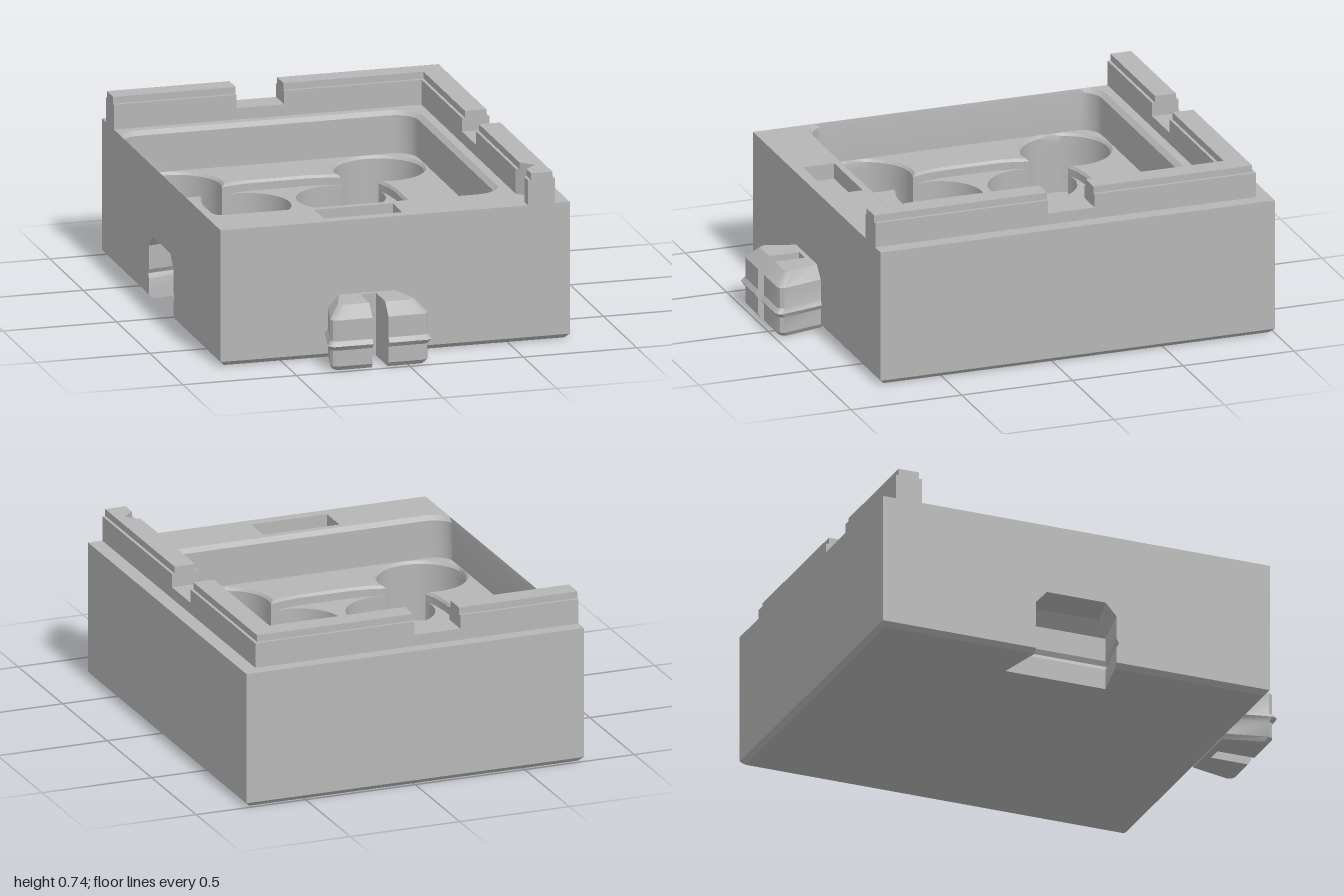
import * as THREE from 'three';
import { mergeGeometries, toCreasedNormals } from 'three/addons/utils/BufferGeometryUtils.js';

// Plan outlines are counter-clockwise [u, v] points with u = x and v = -z.
const CU = -0.125, CV = 0.11; // centre of the tray, the clip and the socket

const toShape = (pts, holes = []) => {
  const path = (p) => p.map(([u, v]) => new THREE.Vector2(u, v));
  const shape = new THREE.Shape(path(pts));
  shape.holes = holes.map((h) => new THREE.Path(path(h)));
  return shape;
};

// Flat face at height y, facing up or down
function flat(pts, y, holes = [], down = false) {
  const outline = down ? pts.map(([u, v]) => [u, -v]) : pts;
  return new THREE.ShapeGeometry(toShape(outline, holes))
    .rotateX(down ? Math.PI / 2 : -Math.PI / 2).translate(0, y, 0);
}

// Walls through a stack of [y, outline]; inward turns them into the lining of a hole
function loft(levels, inward = false) {
  const pos = [];
  for (let l = 0; l + 1 < levels.length; l++) {
    const [y0, lo] = levels[l], [y1, hi] = levels[l + 1];
    for (let i = 0; i < lo.length; i++) {
      const j = (i + 1) % lo.length;
      const a = [lo[i][0], y0, -lo[i][1]], b = [lo[j][0], y0, -lo[j][1]];
      const c = [hi[j][0], y1, -hi[j][1]], d = [hi[i][0], y1, -hi[i][1]];
      pos.push(...(inward ? [a, c, b, a, d, c] : [a, b, c, a, c, d]).flat());
    }
  }
  const g = new THREE.BufferGeometry();
  g.setAttribute('position', new THREE.Float32BufferAttribute(pos, 3));
  return toCreasedNormals(g, 0.5);
}

// Merge pieces of mixed kinds into one geometry
function join(parts) {
  return mergeGeometries(parts.map((p) => {
    const g = p.index ? p.toNonIndexed() : p;
    g.deleteAttribute('uv');
    if (!g.attributes.normal) g.computeVertexNormals();
    return g;
  }));
}

const extrude = (pts, y0, y1) =>
  new THREE.ExtrudeGeometry(toShape(pts), { depth: y1 - y0, bevelEnabled: false })
    .rotateX(-Math.PI / 2).translate(0, y0, 0);

const arc = (cu, cv, r, a0, a1, n) => Array.from({ length: n + 1 }, (_, i) => {
  const a = a0 + (a1 - a0) * i / n;
  return [cu + r * Math.cos(a), cv + r * Math.sin(a)];
});

const clampLeft = (pts, min) => pts.map(([u, v]) => [Math.max(u, min), v]);
const rect = (u0, u1, v0, v1) => [[u0, v0], [u1, v0], [u1, v1], [u0, v1]];

function roundedSquare(half, r) {
  const k = half - r, out = [];
  [[1, 1], [-1, 1], [-1, -1], [1, -1]].forEach(([s, t], i) =>
    out.push(...arc(CU + s * k, CV + t * k, r, i * Math.PI / 2, (i + 1) * Math.PI / 2, 8)));
  return out;
}

// Turn a quadrant's points about the tray centre
const turn = (pts, q) => pts.map(([a, b]) => {
  for (let i = 0; i < q; i++) [a, b] = [-b, a];
  return [CU + a, CV + b];
});

// Joined pair of round wells: outer circle at OUT, inner circle at INN
const OUT = 0.445, INN = 0.208;
function wellArcs(r) {
  const mid = (OUT + INN) / 2, half = (OUT - INN) / Math.SQRT2;
  const k = Math.sqrt(r * r - half * half) / Math.SQRT2;
  const outA = Math.atan2(mid - k - OUT, mid + k - OUT);
  const inA = Math.atan2(mid - k - INN, mid + k - INN);
  return {
    outer: arc(OUT, OUT, r, outA, Math.PI / 2 - outA, 40),
    inner: arc(INN, INN, r, Math.PI / 2 - inA, 2 * Math.PI + inA, 40),
  };
}

const quads = [0, 1, 2, 3];
const before = (e) => [[0.42 + e, 0], [0.42 + e, 0.12], [0.41 + e, 0.2]];
const after = (e) => [[0.2, 0.41 + e], [0.12, 0.42 + e]];
// Bulging centre recess joined with the four outer wells
const recessOutline = (r, e) => clampLeft(quads.flatMap((q) =>
  turn([...before(e), ...wellArcs(r).outer, ...after(e)], q)), -0.764);
// Floor of the recess, cut back around the inner wells
const recessFloor = (r) => quads.flatMap((q) =>
  turn([...before(0), ...wellArcs(r).inner.reverse(), ...after(0)], q));

// Body outline with a dovetail socket in the right side
function bodyOutline(inset, e, closed) {
  const x = 0.77 - inset, mouth = 0.185 + e, deep = closed ? mouth : 0.23 + e;
  const back = closed ? -x : -0.545 + e;
  return [[-x, -0.78 + inset], [x, -0.78 + inset], [x, 1 - inset], [-x, 1 - inset],
    [-x, CV + mouth], [back, CV + deep], [back, CV - deep], [-x, CV - mouth]];
}

function bodyGeometry() {
  const slot = rect(-0.3, 0.045, -0.73, -0.59);
  const pocket = clampLeft(roundedSquare(0.65, 0.1), -0.767);
  const pocketLip = clampLeft(roundedSquare(0.67, 0.12), -0.7695);
  const r = 0.19, deck = 0.6, floor = 0.415, recess = 0.37, bottom = 0.15;
  const lip = recessOutline(0.2, 0.008);
  const parts = [
    // outer shell and underside
    loft([[0, bodyOutline(0.02, 0)], [0.02, bodyOutline(0, 0)], [0.09, bodyOutline(0, 0)],
      [0.11, bodyOutline(0, 0.012)], [0.13, bodyOutline(0, 0)], [0.235, bodyOutline(0, 0)],
      [0.29, bodyOutline(0, -0.05)], [0.29, bodyOutline(0, -0.05, true)],
      [deck, bodyOutline(0, -0.05, true)]]),
    flat(bodyOutline(0.02, 0), 0, [], true),
    // deck, front slot and pocket
    flat(rect(-0.77, 0.77, -0.78, 1), deck, [pocketLip, slot]),
    loft([[0.53, slot], [deck, slot]], true),
    flat(slot, 0.53),
    loft([[floor, pocket], [0.582, pocket], [deck, pocketLip]], true),
    flat(pocket, floor, [lip]),
    // centre recess
    loft([[recess, recessOutline(r, 0)], [floor - 0.012, recessOutline(r, 0)], [floor, lip]], true),
    flat(recessFloor(r), recess),
  ];
  // round wells
  for (const q of quads) {
    const { outer, inner } = wellArcs(r);
    const well = clampLeft(turn([...outer, ...inner.slice(1, -1)], q), -0.764);
    parts.push(loft([[bottom, well], [recess, well]], true), flat(well, bottom));
  }
  return join(parts);
}

// One jaw of the flared clip; side is +1 or -1
function jawGeometry(side) {
  const ring = (o) => {
    const p = [[0.035, -0.77], [0.035, -0.985 - o], [0.19 + o, -0.985 - o],
      [0.207 + o, -0.978 - o], [0.215 + o, -0.96 - o], [0.17 + o, -0.77]]
      .map(([s, v]) => [CU + side * s, v]);
    return side > 0 ? p : p.reverse();
  };
  const levels = [[0, -0.015], [0.02, 0], [0.09, 0], [0.11, 0.014], [0.13, 0],
    [0.222, 0], [0.275, -0.05]].map(([y, o]) => [y, ring(o)]);
  return join([loft(levels), flat(ring(-0.015), 0, [], true), flat(ring(-0.05), 0.275)]);
}

// Stacking rim pieces; i narrows the upper step
const rimPieces = (i) => ({
  backRim: rect(-0.77, -0.23, 0.82 + i, 0.94 - i),
  cornerRim: [[-0.02, 0.82 + i], [0.585 + i, 0.82 + i], [0.585 + i, 0.21], [0.705 - i, 0.21],
    [0.705 - i, 0.94 - i], [-0.02, 0.94 - i]],
  sideRim: [[0.585 + i, -0.78], [0.705 - i, -0.78], [0.705 - i, 0], [0.585 + i, 0],
    [0.585 + i, -0.595 - i], [0.65, -0.66], [0.585 + i, -0.725 + i]],
});

export function createModel() {
  const model = new THREE.Group();
  model.name = 'stackingTray';
  const grey = new THREE.MeshStandardMaterial({ color: 0xb6b6b6 });
  grey.name = 'grey';
  const add = (name, geometry) => {
    const mesh = new THREE.Mesh(geometry, grey);
    mesh.name = name;
    model.add(mesh);
  };

  add('body', bodyGeometry());

  // stepped rim with low sills in its gaps
  const lower = rimPieces(0), upper = rimPieces(0.013);
  for (const name of Object.keys(lower)) {
    add(name, join([extrude(lower[name], 0.6, 0.71), extrude(upper[name], 0.71, 0.74)]));
  }
  add('backSill', extrude(rect(-0.23, -0.02, 0.82, 0.94), 0.6, 0.65));
  add('sideSill', extrude(rect(0.585, 0.705, 0, 0.21), 0.6, 0.65));

  // split clip on the front
  add('leftClipJaw', jawGeometry(1));
  add('rightClipJaw', jawGeometry(-1));
  add('clipBridge', extrude(rect(CU - 0.04, CU + 0.04, -0.8, -0.77), 0, 0.275));
  return model;
}
